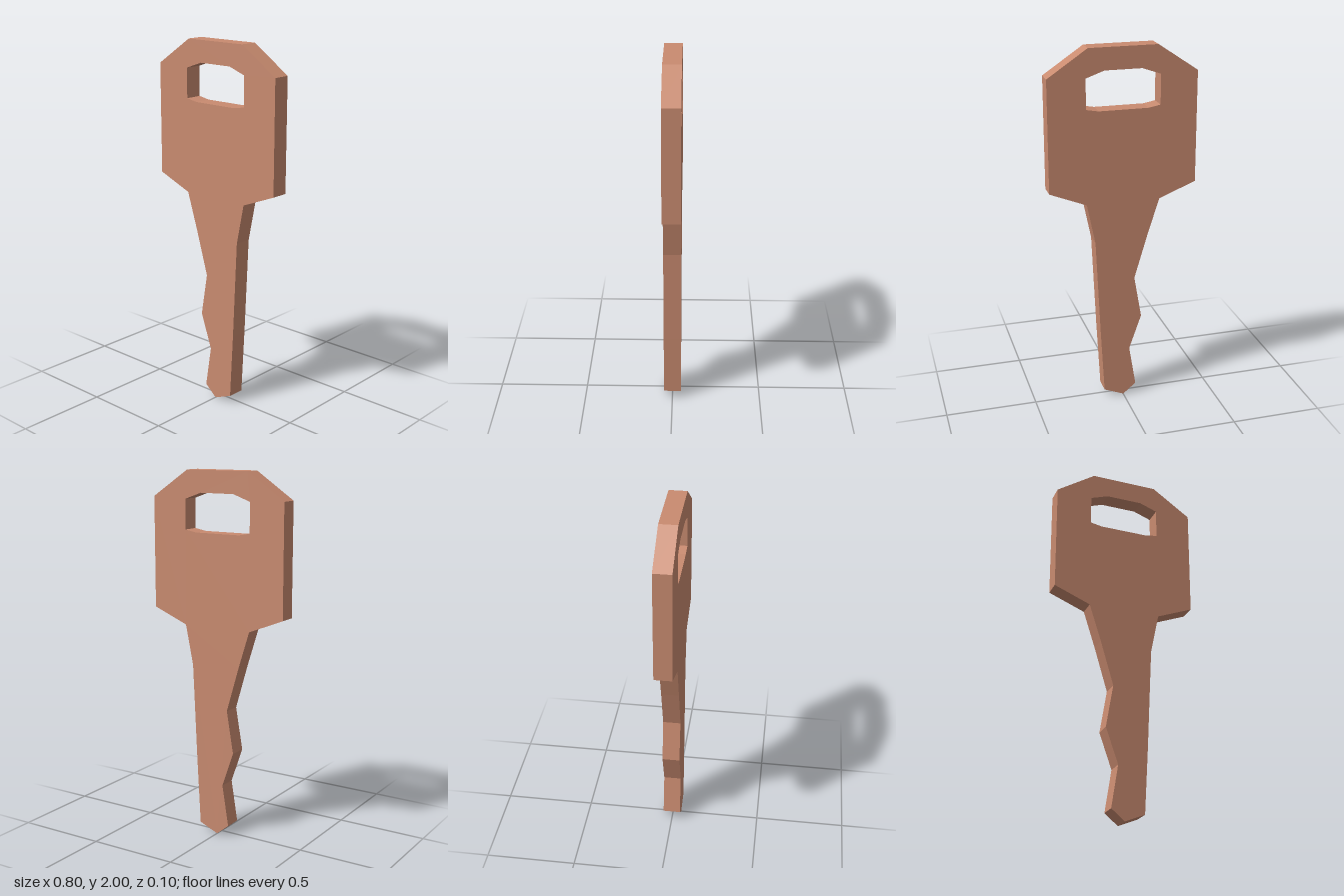
import * as THREE from 'three';

const toPoints = (list) => list.map(([x, y]) => new THREE.Vector2(x, y));

export function createModel() {
  const group = new THREE.Group();
  group.name = 'key';
  const thickness = 0.096;

  // Outline, counter-clockwise from the tip: smooth edge, bow, then toothed edge
  const outline = new THREE.Shape(toPoints([
    [0, 0], [0.11, 0.045], [0.13, 0.41], [0.155, 0.95], [0.2, 1.17],
    [0.4, 1.25], [0.4, 1.855], [0.185, 2], [-0.185, 2], [-0.4, 1.855], [-0.4, 1.25],
    [-0.2, 1.17], [-0.135, 0.965], [-0.063, 0.72], [-0.103, 0.485], [-0.035, 0.29], [-0.072, 0.06],
  ]));

  // Keyring slot through the bow
  outline.holes.push(new THREE.Path(toPoints([
    [-0.2, 1.685], [-0.2, 1.847], [-0.1, 1.882], [0.1, 1.882],
    [0.198, 1.847], [0.198, 1.685], [0.132, 1.673], [-0.135, 1.673],
  ])));

  const geometry = new THREE.ExtrudeGeometry(outline, { depth: thickness, bevelEnabled: false });
  geometry.translate(0, 0, -thickness / 2);

  const body = new THREE.Mesh(
    geometry,
    new THREE.MeshStandardMaterial({ color: 0xc98b70, flatShading: true }),
  );
  body.name = 'keyBody';
  group.add(body);
  return group;
}
